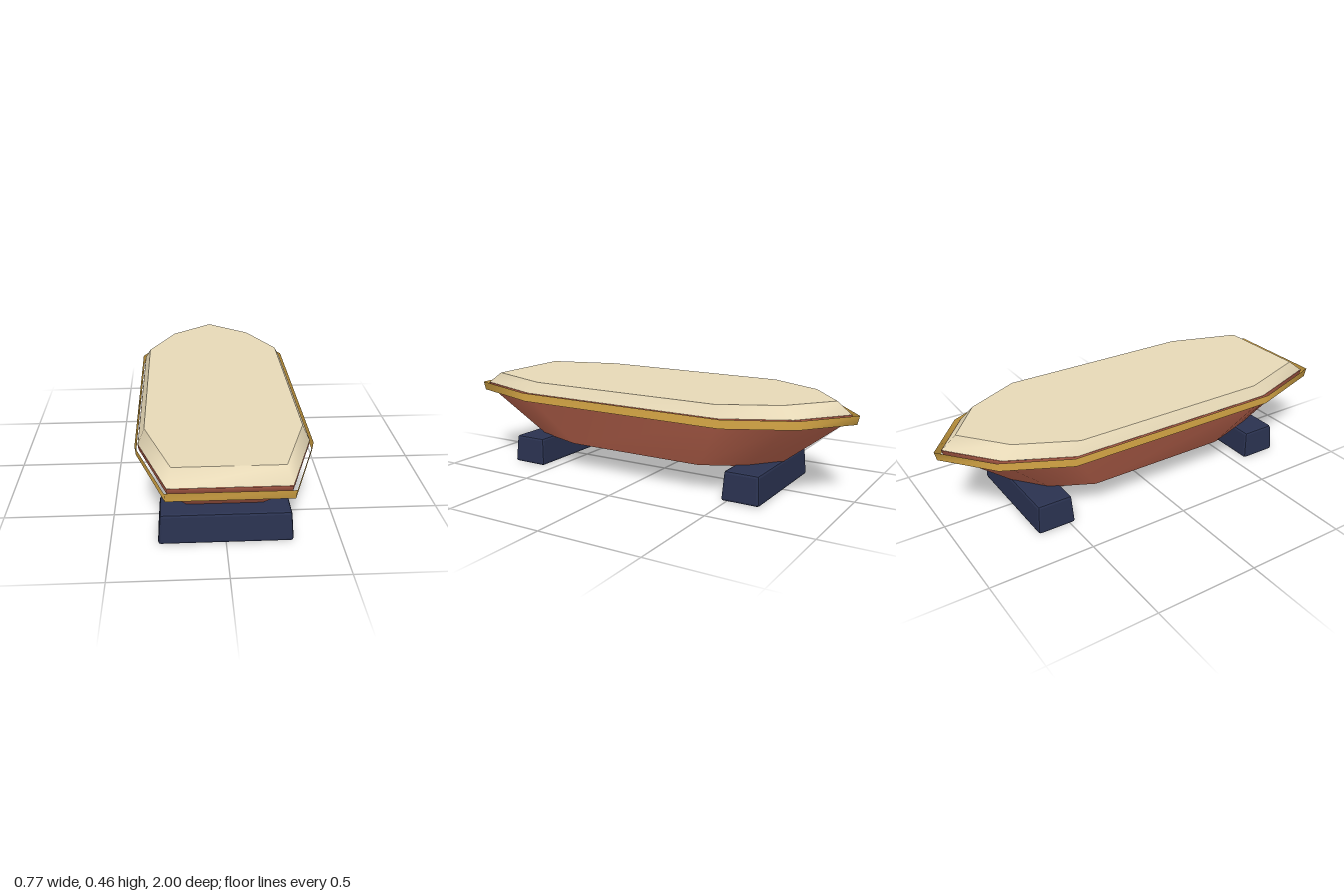
import * as THREE from 'three';
import { mergeGeometries, toCreasedNormals } from 'three/addons/utils/BufferGeometryUtils.js';
import { RoundedBoxGeometry } from 'three/addons/geometries/RoundedBoxGeometry.js';

const material = (name, color, side = THREE.FrontSide) => {
  const m = new THREE.MeshStandardMaterial({ color, side });
  m.name = name;
  return m;
};

// Half of the deck outline from bow (-z) to stern, mirrored into a full loop
const half = [[0.235, -0.81], [0.384, -0.51], [0.384, 0.6], [0.255, 0.995]];
const outline = [[0, -1], ...half, ...half.map(([x, z]) => [-x, z]).reverse()];
const n = outline.length;
const ring = ([y, s]) => outline.flatMap(([x, z]) => [x * s, y, z * s]);

function indexed(pos, index) {
  const g = new THREE.BufferGeometry();
  g.setAttribute('position', new THREE.Float32BufferAttribute(pos, 3));
  g.setIndex(index);
  g.computeVertexNormals();
  return g;
}

// Smooth wall through scaled outlines: levels are [y, scale], from the bottom up
function wall(levels) {
  const index = [];
  for (let k = 0; k < levels.length - 1; k++) {
    for (let i = 0; i < n; i++) {
      const a = k * n + i, b = k * n + (i + 1) % n;
      index.push(a, a + n, b, b, a + n, b + n);
    }
  }
  return indexed(levels.flatMap(ring), index);
}

// Flat cap over one scaled outline, facing up or down
function cap(level, up) {
  const index = [];
  for (let i = 0; i < n; i++) {
    const j = (i + 1) % n;
    index.push(n, ...(up ? [j, i] : [i, j]));
  }
  return indexed([...ring(level), 0, level[0], 0], index);
}

// Chamfered block that narrows slightly towards the top
function blockGeometry(w, h, d) {
  const g = new RoundedBoxGeometry(w, h, d, 1, 0.012);
  const p = g.attributes.position;
  for (let i = 0; i < p.count; i++) {
    const t = p.getY(i) / h + 0.5;
    p.setX(i, p.getX(i) - Math.sign(p.getX(i)) * 0.011 * t);
    p.setZ(i, p.getZ(i) - Math.sign(p.getZ(i)) * 0.009 * t);
  }
  g.translate(0, h / 2, 0);
  return toCreasedNormals(g, 0.3);
}

export function createModel() {
  const model = new THREE.Group();
  const add = (name, geometry, mat, z = 0) => {
    const mesh = new THREE.Mesh(geometry, mat);
    mesh.name = name;
    mesh.position.z = z;
    model.add(mesh);
  };

  const red = material('hull red', 0xc96c54, THREE.DoubleSide);
  const gold = material('rim gold', 0xe2b04a, THREE.DoubleSide);
  const cream = material('cover cream', 0xe8dab8);
  const navy = material('support navy', 0x2a3250);

  // Hull flaring up from a flat bottom
  const keel = [0.135, 0.65];
  add('hull', mergeGeometries([wall([keel, [0.375, 0.96], [0.4, 0.967]]), cap(keel, false)]), red);
  // Thin open band around the gunwale
  add('rim', wall([[0.358, 0.99], [0.4, 1]]), gold);
  // Deck cover with sloping edges
  const deck = [0.455, 0.895];
  add('cover', mergeGeometries([wall([[0.4, 0.965], deck]), cap(deck, true)]), cream);
  // Two cross supports under the hull
  const block = blockGeometry(0.59, 0.141, 0.19);
  add('frontSupport', block, navy, 0.657);
  add('backSupport', block, navy, -0.567);

  return model;
}
